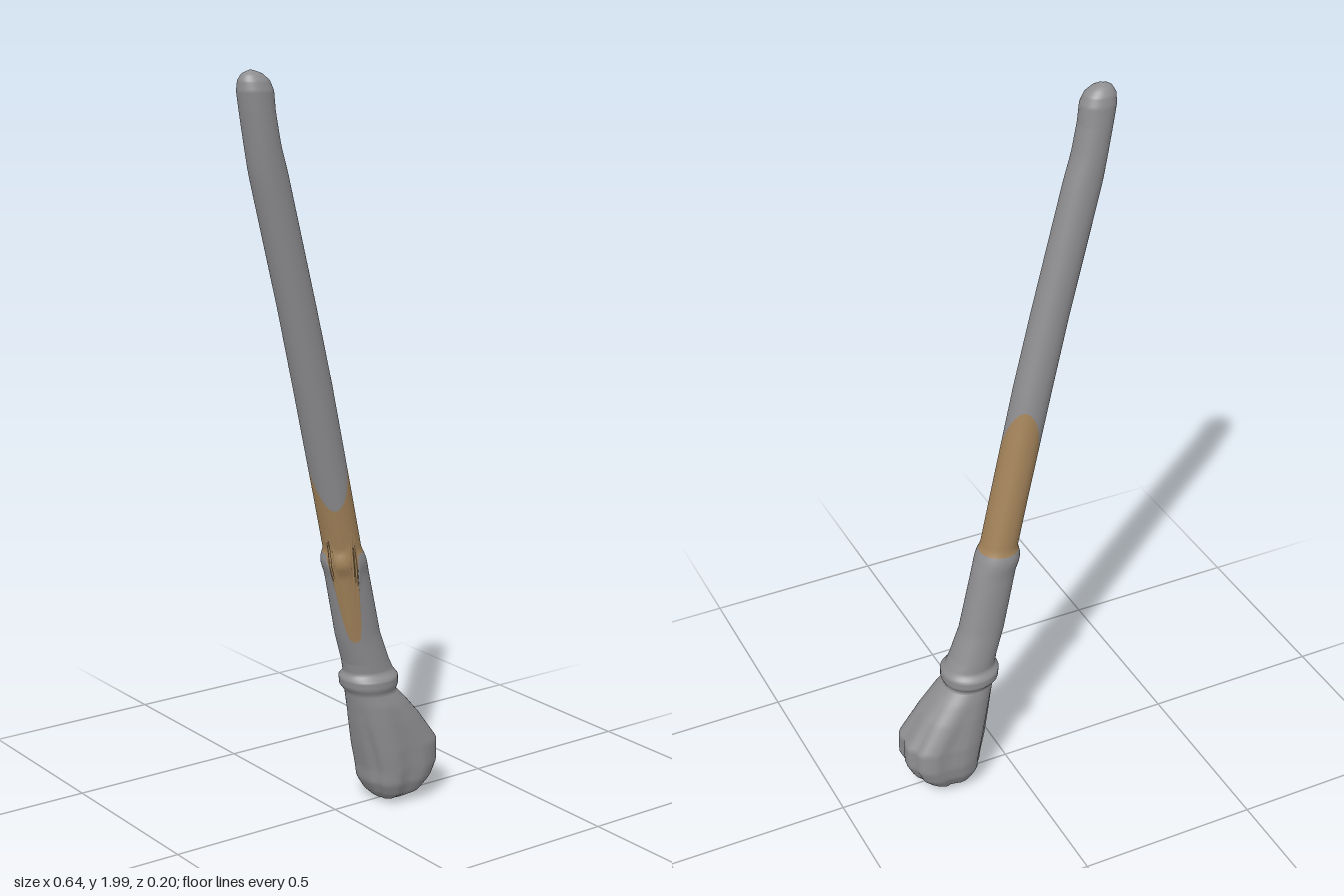
import * as THREE from 'three';

// Horizontal sections: y, xMin, xMax, zMin, zMax
const SECTIONS = [
  [0.01, 0.165, 0.17, -0.01, 0.01],
  [0.015, 0.14, 0.205, -0.045, 0.04],
  [0.035, 0.12, 0.26, -0.077, 0.073],
  [0.07, 0.1, 0.295, -0.095, 0.088],
  [0.11, 0.095, 0.315, -0.1, 0.092],
  [0.17, 0.08, 0.315, -0.097, 0.092],
  [0.25, 0.062, 0.258, -0.085, 0.086],
  [0.3, 0.052, 0.215, -0.075, 0.08],
  [0.335, 0.045, 0.182, -0.065, 0.07],
  [0.352, 0.033, 0.19, -0.078, 0.076],
  [0.375, 0.03, 0.19, -0.078, 0.076],
  [0.39, 0.04, 0.18, -0.063, 0.058],
  [0.42, 0.035, 0.165, -0.061, 0.057],
  [0.5, 0.01, 0.135, -0.053, 0.054],
  [0.68, -0.03, 0.09, -0.045, 0.062],
  [0.71, -0.042, 0.08, -0.048, 0.072],
  [0.73, -0.042, 0.073, -0.046, 0.07],
  [0.75, -0.037, 0.062, -0.038, 0.064],
  [0.9, -0.072, 0.027, -0.032, 0.07],
  [1.2, -0.145, -0.043, -0.018, 0.079],
  [1.4, -0.195, -0.095, -0.008, 0.085],
  [1.75, -0.287, -0.188, 0.004, 0.094],
  [1.82, -0.3, -0.21, 0.006, 0.096],
  [1.9, -0.315, -0.226, 0.01, 0.097],
  [1.95, -0.324, -0.231, 0.013, 0.097],
  [1.975, -0.322, -0.242, 0.02, 0.09],
  [1.992, -0.312, -0.262, 0.034, 0.076],
  [2.0, -0.292, -0.288, 0.053, 0.057],
];

// Cleft directions around the knob, in degrees from +x toward +z
const CLEFTS = [8, 95, 155, 215, 275, 335];
const RAD = Math.PI / 180;
const angleGap = (a, b) => Math.atan2(Math.sin(a - b), Math.cos(a - b));

function sectionAt(y) {
  let i = 0;
  while (i < SECTIONS.length - 2 && y > SECTIONS[i + 1][0]) i++;
  const a = SECTIONS[i], b = SECTIONS[i + 1];
  const t = THREE.MathUtils.clamp((y - a[0]) / (b[0] - a[0]), 0, 1);
  return a.map((v, k) => v + (b[k] - v) * t);
}

// Point on the skin at height y and angle
function skin(y, angle) {
  const [, x0, x1, z0, z1] = sectionAt(y);
  const knob = THREE.MathUtils.smoothstep(0.34 - y, 0, 0.2);
  const power = 0.95 - 0.2 * knob;
  const c = Math.cos(angle), s = Math.sin(angle);
  let dent = 0;
  for (const d of CLEFTS) dent += Math.exp(-((angleGap(angle, d * RAD) / 0.13) ** 2));
  const r = 1 - 0.09 * knob * dent;
  return [
    (x0 + x1) / 2 + (x1 - x0) / 2 * r * Math.sign(c) * Math.abs(c) ** power,
    y,
    (z0 + z1) / 2 + (z1 - z0) / 2 * r * Math.sign(s) * Math.abs(s) ** power,
  ];
}

// Sleeve of skin between two boundaries that may vary with angle
function sleeve(name, low, high, rows, material) {
  const sides = 48, pos = [], idx = [];
  for (let j = 0; j <= rows; j++) {
    for (let i = 0; i < sides; i++) {
      const a = i / sides * Math.PI * 2;
      const y = low(a) + (high(a) - low(a)) * j / rows;
      pos.push(...skin(y, a));
      if (j === rows) continue;
      const p = j * sides + i, q = j * sides + (i + 1) % sides;
      idx.push(p, p + sides, q, q, p + sides, q + sides);
    }
  }
  const g = new THREE.BufferGeometry();
  g.setAttribute('position', new THREE.Float32BufferAttribute(pos, 3));
  g.setIndex(idx);
  g.computeVertexNormals();
  const mesh = new THREE.Mesh(g, material);
  mesh.name = name;
  return mesh;
}

export function createModel() {
  const grey = new THREE.MeshStandardMaterial({ color: 0x8e8e91 });
  grey.name = 'grey';
  const tan = new THREE.MeshStandardMaterial({ color: 0xa3835a });
  tan.name = 'tan';

  // Slanted upper edge of the tan band, and lower edge with a tongue in front
  const bandTop = a => 1.01 + 0.145 * Math.cos(a + 55 * RAD);
  const bandBottom = a => 0.74 - 0.25 * Math.exp(-((angleGap(a, 128 * RAD) / 0.6) ** 4));
  const at = y => () => y;

  const model = new THREE.Group();
  model.name = 'club';
  model.add(
    sleeve('knob', at(0.01), at(0.33), 40, grey),
    sleeve('collar', at(0.33), at(0.42), 16, grey),
    sleeve('lowerShaft', at(0.42), bandBottom, 24, grey),
    sleeve('tanBand', bandBottom, bandTop, 36, tan),
    sleeve('upperShaft', bandTop, at(1.9), 40, grey),
    sleeve('roundedTip', at(1.9), at(2), 20, grey),
  );
  return model;
}
